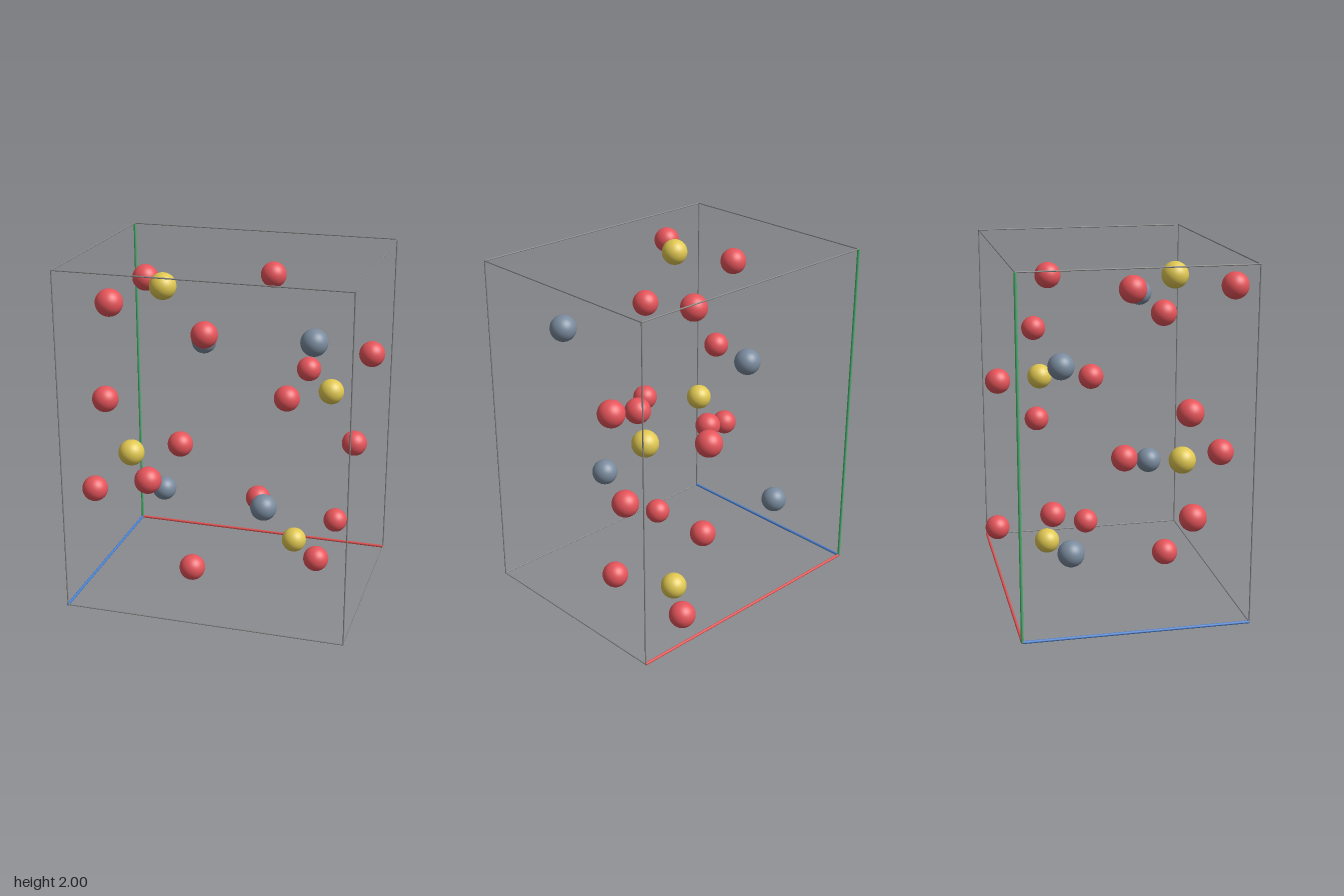
import * as THREE from 'three';

export function createModel() {
  const model = new THREE.Group();
  const material = (name, color) => {
    const m = new THREE.MeshStandardMaterial({ color });
    m.name = name;
    return m;
  };
  const red = material('red atom', 0xe6555b);
  const yellow = material('yellow atom', 0xe0c852);
  const grey = material('slate atom', 0x7a8b9e);
  const edgeGrey = material('grey edge', 0x888888);
  const axisMaterials = {
    x: material('red axis', 0xe05050),
    y: material('green axis', 0x4caf6e),
    z: material('blue axis', 0x4a80d0),
  };

  // Unit cell about its inversion point; the thicker axes shift it slightly off centre
  const centre = new THREE.Vector3(0.002, 1.002, 0.002);
  const half = { x: 0.814, y: 0.994, z: 0.632 };

  // Atoms: each one has a partner inverted through the cell centre
  const sphere = new THREE.SphereGeometry(0.075, 40, 28);
  function atomPairs(name, mat, positions) {
    const group = new THREE.Group();
    group.name = name;
    group.position.copy(centre);
    for (const [x, y, z] of positions) {
      for (const s of [1, -1]) {
        const atom = new THREE.Mesh(sphere, mat);
        atom.name = name.replace('Atoms', 'Atom');
        atom.position.set(x * s, y * s, z * s);
        group.add(atom);
      }
    }
    model.add(group);
  }
  const layer = 0.316;
  atomPairs('redAtoms', red, [
    [-0.506, 0.833, 0.598], [-0.506, 0.833, 0.034],
    [-0.313, -0.162, 0.598], [-0.313, -0.162, 0.034],
    [-0.07, 0.611, layer], [-0.663, 0.182, layer],
    [-0.748, -0.382, layer], [-0.155, -0.812, layer],
  ]);
  atomPairs('yellowAtoms', yellow, [[-0.304, 0.867, layer], [-0.514, -0.129, layer]]);
  atomPairs('slateAtoms', grey, [[0.543, 0.619, layer], [0.272, -0.375, layer]]);

  // Cell edges: twelve thin rods; the three from the origin corner are coloured axes
  const cell = new THREE.Group();
  cell.name = 'cellFrame';
  cell.position.copy(centre);
  model.add(cell);
  for (const axis of ['x', 'y', 'z']) {
    const [u, v] = ['x', 'y', 'z'].filter((a) => a !== axis);
    for (const su of [-1, 1]) {
      for (const sv of [-1, 1]) {
        const isAxis = su < 0 && sv < 0;
        const radius = isAxis ? 0.008 : 0.004;
        const rod = new THREE.Mesh(
          new THREE.CylinderGeometry(radius, radius, half[axis] * 2, 12),
          isAxis ? axisMaterials[axis] : edgeGrey
        );
        rod.name = isAxis ? axis + 'Axis' : 'cellEdge';
        rod.position[u] = su * half[u];
        rod.position[v] = sv * half[v];
        if (axis === 'x') rod.rotation.z = Math.PI / 2;
        if (axis === 'z') rod.rotation.x = Math.PI / 2;
        cell.add(rod);
      }
    }
  }
  return model;
}
